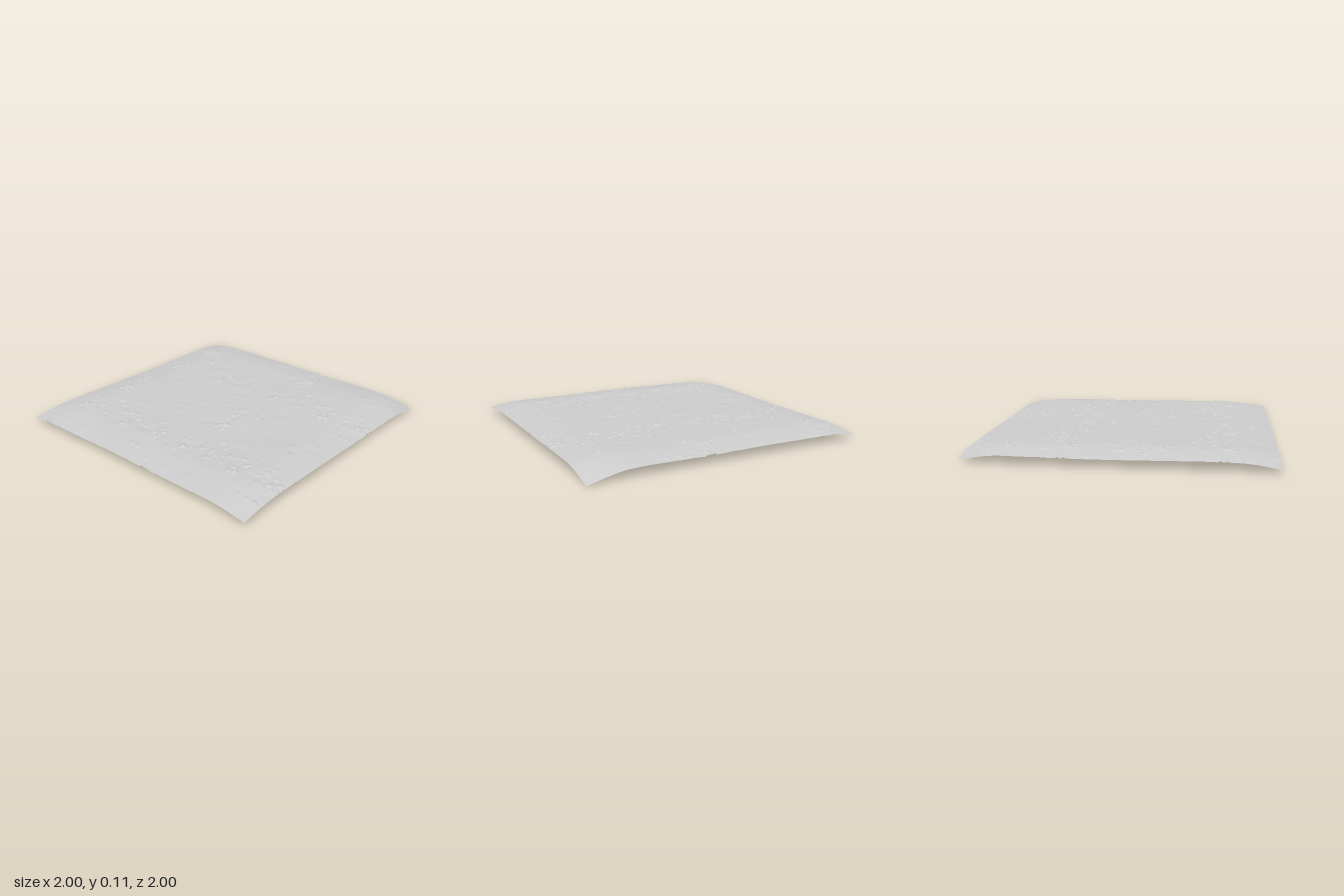
import * as THREE from 'three';

// Small seeded generator
function seeded(seed) {
  return () => {
    seed = (seed * 1664525 + 1013904223) % 4294967296;
    return seed / 4294967296;
  };
}

const SEGMENTS = 220;
const TILE = SEGMENTS / 2; // the debris pattern repeats every 1 unit

// Debris clusters inside one tile: x, z, spread, stone count
const CLUSTERS = [
  [0.32, 0.18, 0.05, 18], [0.36, 0.37, 0.06, 9], [0.44, 0.40, 0.05, 8],
  [0.26, 0.50, 0.06, 9], [0.42, 0.54, 0.04, 6], [0.31, 0.66, 0.05, 14],
  [0.42, 0.68, 0.06, 11], [0.36, 0.80, 0.07, 12], [0.33, 0.92, 0.05, 18],
  [0.46, 0.81, 0.04, 5], [0.70, 0.77, 0.05, 6], [0.80, 0.77, 0.05, 6],
  [0.73, 0.20, 0.05, 18], [0.84, 0.14, 0.06, 12], [0.95, 0.16, 0.04, 10],
  [0.88, 0.32, 0.09, 12], [0.18, 0.93, 0.07, 8], [0.05, 0.18, 0.06, 5],
  [0.92, 0.93, 0.06, 5], [0.23, 0.10, 0.08, 8],
];

// Larger single stones: x, z, half length, half width, turn, height
const STONES = [
  [0.30, 0.67, 0.030, 0.022, 0.4, 0.014], [0.54, 0.36, 0.034, 0.020, 0.9, 0.011],
  [0.47, 0.14, 0.026, 0.018, 0.2, 0.010], [0.33, 0.20, 0.024, 0.016, 1.3, 0.022],
  [0.74, 0.21, 0.024, 0.016, 0.1, 0.022], [0.98, 0.15, 0.026, 0.020, 0.0, 0.012],
  [0.89, 0.15, 0.024, 0.018, 1.1, 0.012], [0.34, 0.92, 0.030, 0.018, 0.3, 0.016],
  [0.83, 0.09, 0.024, 0.016, 0.7, 0.010], [0.15, 0.95, 0.030, 0.014, 1.8, 0.010],
];

function scatterStones() {
  const rnd = seeded(71);
  const list = [...STONES];
  const spread = () => rnd() + rnd() + rnd() - 1.5;
  for (const [x, z, s, n] of CLUSTERS) {
    for (let i = 0; i < n; i++) {
      const size = 0.009 + 0.015 * rnd() ** 2;
      const height = (rnd() < 0.2 ? -0.4 : 1) * (0.003 + 0.008 * rnd());
      list.push([x + spread() * s * 1.5, z + spread() * s * 1.5,
        size * 1.4, size * 0.8, rnd() * Math.PI, height]);
    }
  }
  // wide, soft swells in the soil
  for (let i = 0; i < 90; i++) {
    const size = 0.03 + 0.05 * rnd();
    list.push([rnd(), rnd(), size * 1.3, size * 0.7, rnd() * Math.PI, (rnd() - 0.5) * 0.005]);
  }
  return list;
}

// Height map of one repeating tile
function buildTile() {
  const tile = new Float32Array(TILE * TILE);
  const wrap = (d) => d - Math.round(d);
  for (const [sx, sz, a, b, turn, height] of scatterStones()) {
    const c = Math.cos(turn), s = Math.sin(turn);
    for (let j = 0; j < TILE; j++) {
      const dz = wrap(j / TILE - sz);
      if (Math.abs(dz) > a) continue;
      for (let i = 0; i < TILE; i++) {
        const dx = wrap(i / TILE - sx);
        const d = ((dx * c + dz * s) / a) ** 2 + ((dz * c - dx * s) / b) ** 2;
        if (d < 1) {
          const k = j * TILE + i;
          const lift = height * (1 - d) ** 1.4;
          // overlapping stones keep the higher one, plus a little of the lower
          tile[k] = lift > 0 ? Math.max(tile[k], lift) + 0.15 * Math.min(Math.max(tile[k], 0), lift) : tile[k] + lift;
        }
      }
    }
  }
  return tile;
}

// Gentle mound that falls away at the borders, most at one corner
function moundHeight(x, z) {
  const ramp = (v, start) => Math.max(0, (v - start) / (1 - start)) ** 1.5;
  const border = ramp(Math.abs(x), 0.74) + ramp(Math.abs(z), 0.74);
  const corner = ramp(x, 0.6) * ramp(z, 0.6);
  const roll = 0.003 * Math.sin(x * 5 + 1) * Math.cos(z * 4) + 0.002 * Math.sin(z * 7 - x * 3);
  return 0.092 - 0.032 * border - 0.028 * corner + roll;
}

export function createModel() {
  const group = new THREE.Group();
  group.name = 'groundPatch';

  // Ground sheet
  const geometry = new THREE.PlaneGeometry(2, 2, SEGMENTS, SEGMENTS).rotateX(-Math.PI / 2);
  const pos = geometry.attributes.position;
  const tile = buildTile();
  let low = Infinity;
  for (let k = 0; k < pos.count; k++) {
    const i = k % (SEGMENTS + 1), j = Math.floor(k / (SEGMENTS + 1));
    const y = moundHeight(pos.getX(k), pos.getZ(k)) + tile[(j % TILE) * TILE + (i % TILE)];
    pos.setY(k, y);
    low = Math.min(low, y);
  }
  geometry.translate(0, -low, 0);
  geometry.computeVertexNormals();

  const ground = new THREE.Mesh(geometry,
    new THREE.MeshStandardMaterial({ color: 0xcccccc, side: THREE.DoubleSide }));
  ground.name = 'rockyGround';
  group.add(ground);
  return group;
}
